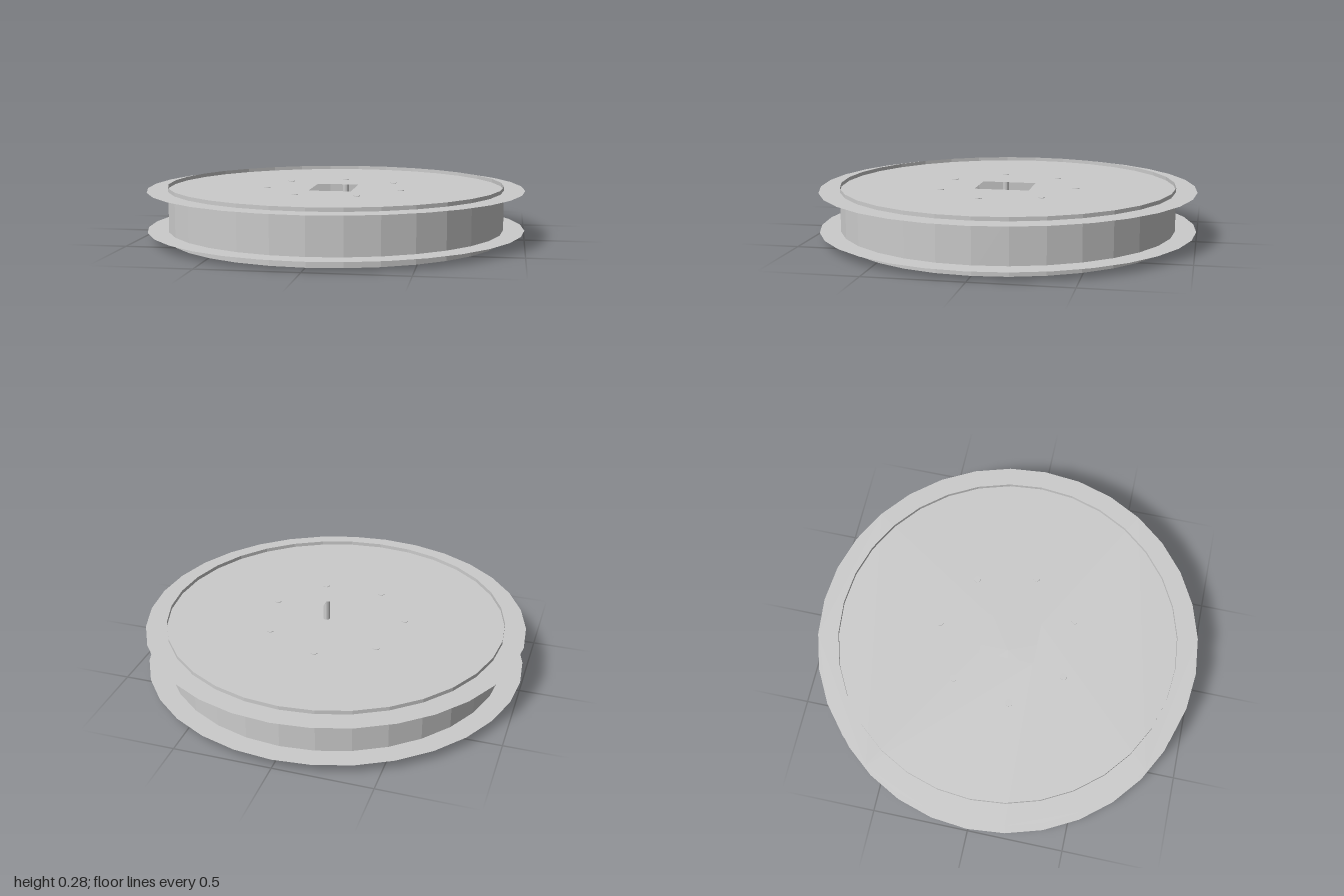
import * as THREE from 'three';

const SIDES = 32;
const LOW = 0.05, HIGH = 0.26, TOP = 0.28;

export function createModel() {
  const model = new THREE.Group();
  const material = new THREE.MeshStandardMaterial({
    color: 0xcccccc, flatShading: true, side: THREE.DoubleSide,
  });

  const add = (name, geometry, x, y, z) => {
    const mesh = new THREE.Mesh(geometry, material);
    mesh.name = name;
    mesh.position.set(x, y, z);
    model.add(mesh);
  };

  // Thin open drum wall, its rims standing past both discs
  add('drumWall', new THREE.CylinderGeometry(0.89, 0.89, TOP, SIDES, 1, true), 0, TOP / 2, 0);

  // Solid lower disc
  add('lowerDisc', new THREE.CircleGeometry(1, SIDES).rotateX(-Math.PI / 2), 0, LOW, 0);

  // Upper disc with a rectangular opening near the middle
  const disc = new THREE.Shape();
  for (let i = 0; i < SIDES; i++) {
    const a = (i / SIDES) * Math.PI * 2;
    if (i === 0) disc.moveTo(1, 0);
    else disc.lineTo(Math.cos(a), Math.sin(a));
  }
  disc.closePath();
  disc.holes.push(new THREE.Path([
    [-0.12, -0.16], [-0.12, 0.13], [0.104, 0.13], [0.104, -0.16],
  ].map(([x, y]) => new THREE.Vector2(x, y))));
  add('upperDisc', new THREE.ShapeGeometry(disc).rotateX(-Math.PI / 2), 0, HIGH, 0);

  // Ring of seven pins joining the discs, ends barely proud
  const pin = new THREE.CylinderGeometry(0.018, 0.018, HIGH - LOW + 0.006, 12);
  for (let i = 0; i < 7; i++) {
    const a = -Math.PI / 2 + (i / 7) * Math.PI * 2;
    add('pin' + (i + 1), pin, 0.366 * Math.cos(a), (LOW + HIGH) / 2, 0.366 * Math.sin(a));
  }

  return model;
}
